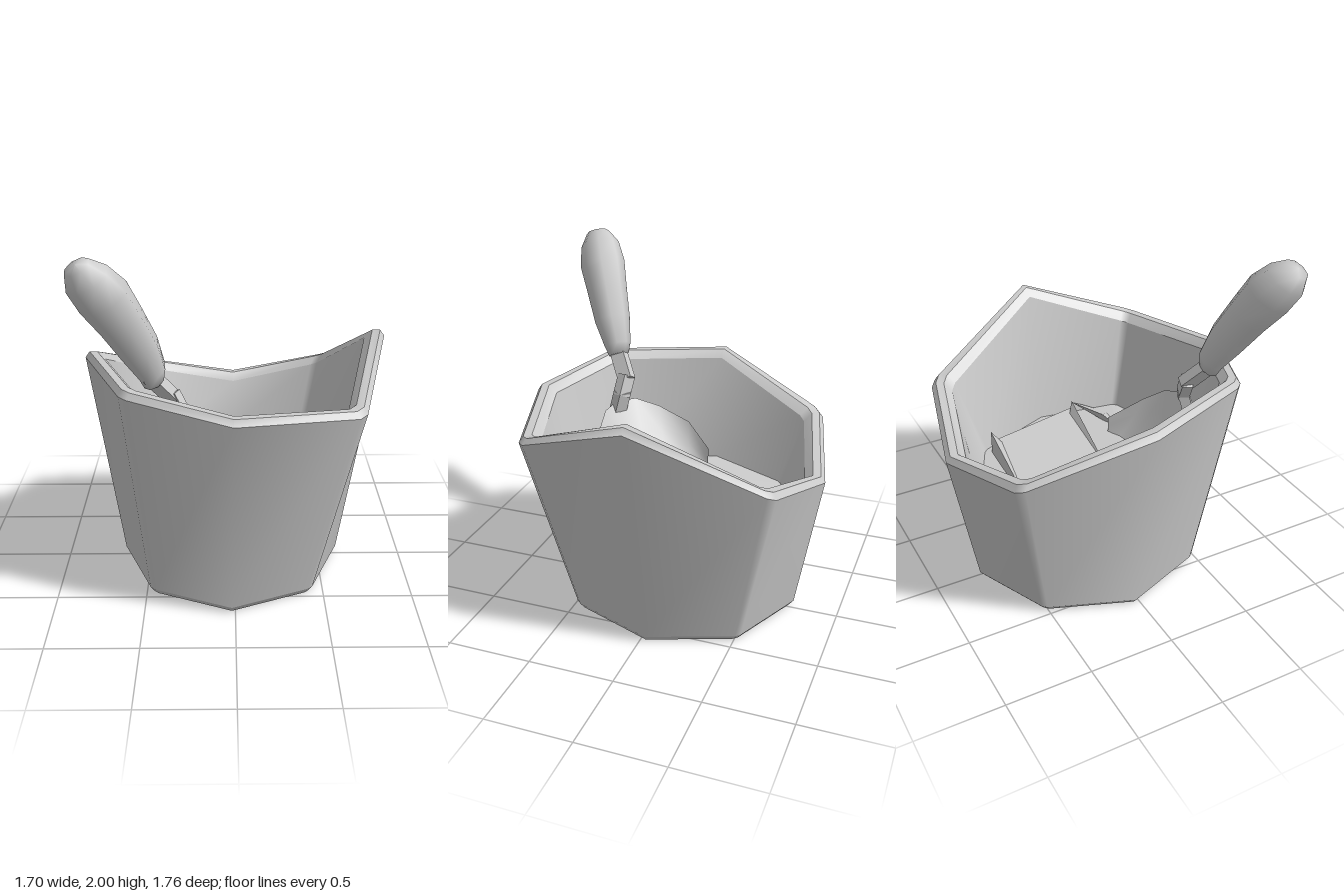
import * as THREE from 'three';
import { ConvexGeometry } from 'three/addons/geometries/ConvexGeometry.js';

const V = (x, y, z) => new THREE.Vector3(x, y, z);
const grey = (opts = {}) => new THREE.MeshStandardMaterial({ color: 0xcccccc, ...opts });

function add(group, name, geometry, opts) {
  const mesh = new THREE.Mesh(geometry, grey(opts));
  mesh.name = name;
  group.add(mesh);
  return mesh;
}

// Cut every second corner of an eight-sided loop
function bevelLoop(corners, size) {
  const out = [];
  corners.forEach((c, i) => {
    const p = V(...c);
    if (i % 2 === 0) { out.push(p); return; }
    for (const n of [corners[i - 1], corners[(i + 1) % 8]]) {
      const dir = V(...n).sub(p);
      out.push(p.clone().addScaledVector(dir, size / dir.length()));
    }
  });
  return out;
}

// Shrink a loop towards the axis and shift it up or down
const inset = (loop, d, dy) => loop.map(p => V(p.x * (1 - d / 0.86), p.y + dy, p.z * (1 - d / 0.86)));
const flatLoop = (loop, x, y, z) => loop.map(() => V(x, y, z));

// Surface through rows of points; sharp rows get their own vertices
function loft(rows, closed, sharp) {
  const pos = [], index = [];
  const n = rows[0].length;
  const push = row => {
    const start = pos.length / 3;
    row.forEach(p => pos.push(p.x, p.y, p.z));
    return start;
  };
  let prev = push(rows[0]);
  for (let r = 1; r < rows.length; r++) {
    const a = sharp && r > 1 ? push(rows[r - 1]) : prev;
    const b = push(rows[r]);
    for (let i = 0; i < (closed ? n : n - 1); i++) {
      const j = (i + 1) % n;
      index.push(a + i, b + i, a + j, b + i, b + j, a + j);
    }
    prev = b;
  }
  const g = new THREE.BufferGeometry();
  g.setAttribute('position', new THREE.Float32BufferAttribute(pos, 3));
  g.setIndex(index);
  g.computeVertexNormals();
  return g;
}

// Rotation that turns +y towards the direction from a to b
const turn = (a, b) => new THREE.Quaternion().setFromUnitVectors(V(0, 1, 0), b.clone().sub(a).normalize());

export function createModel() {
  const model = new THREE.Group();
  model.name = 'bucketWithTrowel';

  // Bucket: uneven rim over a regular eight-sided base
  const rim = bevelLoop([
    [0, 0.86, -0.88], [0.6, 1.02, -0.735], [0.85, 1.38, -0.02], [0.675, 1.14, 0.66],
    [-0.01, 1.18, 0.88], [-0.59, 1.245, 0.64], [-0.85, 1.25, -0.04], [-0.63, 1.0, -0.72]], 0.035);
  const baseCorners = [];
  for (let i = 0; i < 8; i++) {
    const a = i * Math.PI / 4;
    baseCorners.push([-0.02 + 0.64 * Math.sin(a), 0.035, -0.03 - 0.705 * Math.cos(a)]);
  }
  const base = bevelLoop(baseCorners, 0.02);
  const soilEdge = bevelLoop([
    [0, 0.57, -0.69], [0.42, 0.57, -0.49], [0.61, 0.57, -0.02], [0.52, 0.58, 0.47],
    [0, 0.59, 0.64], [-0.42, 0.6, 0.48], [-0.64, 0.6, -0.04], [-0.46, 0.58, -0.515]], 0.02);
  add(model, 'bucket', loft([
    flatLoop(base, -0.02, 0, -0.03),
    inset(base, 0.035, -0.035), base, rim,
    inset(rim, 0.025, 0.035), inset(rim, 0.07, 0.035), inset(rim, 0.115, -0.01),
    soilEdge], true, true));

  // Soil: shallow fan with angular clods
  const soil = new THREE.Group();
  soil.name = 'soil';
  model.add(soil);
  add(soil, 'soilSurface', loft([soilEdge, flatLoop(soilEdge, -0.23, 0.64, 0.14)], true, true)
    .toNonIndexed(), { flatShading: true });
  const clods = [
    [[-0.23, 0.61, -0.5], [0.38, 0.72, -0.46], [0.34, 0.63, -0.39], [0.38, 0.5, -0.46]],
    [[-0.15, 0.64, 0.04], [0.51, 0.7, 0.15], [0.43, 0.63, 0.09], [0.51, 0.5, 0.15]],
    [[-0.23, 0.61, -0.5], [0.38, 0.65, -0.46], [0.51, 0.65, 0.15], [-0.15, 0.64, 0.04], [0.2, 0.5, -0.1]],
    [[0.3, 0.68, 0.26], [0.56, 0.65, 0.18], [0.55, 0.62, 0.25], [0.5, 0.54, 0.42], [0.2, 0.54, 0.4]],
  ];
  for (const pts of clods) {
    add(soil, 'clod', new ConvexGeometry(pts.map(p => V(...p))), { flatShading: true });
  }

  // Trowel standing in the soil
  const trowel = new THREE.Group();
  trowel.name = 'trowel';
  model.add(trowel);

  // Handle: bulging grip, each ring given as centre and radius
  const rings = [[-0.42, 1.3, 0.53, 0], [-0.42, 1.3, 0.53, 0.06], [-0.427, 1.36, 0.54, 0.08],
    [-0.483, 1.5, 0.595, 0.108], [-0.563, 1.66, 0.66, 0.122], [-0.64, 1.8, 0.72, 0.137],
    [-0.71, 1.9, 0.765, 0.118], [-0.75, 1.965, 0.795, 0.07], [-0.755, 1.975, 0.8, 0]];
  const tilt = turn(V(-0.42, 1.3, 0.53), V(-0.755, 1.975, 0.8));
  add(trowel, 'handle', loft(rings.map(([x, y, z, r]) => Array.from({ length: 8 }, (_, i) => {
    const a = (i + 0.5) * Math.PI / 4;
    return V(r * Math.cos(a), 0, r * Math.sin(a)).applyQuaternion(tilt).add(V(x, y, z));
  })), true, false));

  // Neck: bent square bar
  const bends = [V(-0.44, 1.34, 0.55), V(-0.335, 1.19, 0.45), V(-0.29, 1.1, 0.46), V(-0.3, 0.96, 0.5)];
  for (let i = 0; i < 3; i++) {
    const len = bends[i].distanceTo(bends[i + 1]);
    const bar = add(trowel, 'neck', new THREE.BoxGeometry(0.09, len + 0.03, 0.06));
    bar.geometry.translate(0, len / 2, 0);
    bar.position.copy(bends[i]);
    bar.quaternion.copy(turn(bends[i], bends[i + 1]));
  }

  // Blade: curved scoop from its upper edge down into the soil
  const upper = [[-0.36, 0.78, -0.08], [-0.5, 0.88, 0.1], [-0.5, 0.96, 0.3], [-0.43, 1.02, 0.43],
    [-0.3, 1.04, 0.5], [-0.18, 1.02, 0.525], [-0.04, 0.97, 0.5], [0.09, 0.86, 0.43], [0.225, 0.7, 0.26]];
  const lower = [[-0.35, 0.6, -0.07], [-0.3, 0.6, 0.03], [-0.23, 0.6, 0.14], [-0.17, 0.6, 0.2],
    [-0.1, 0.6, 0.25], [-0.03, 0.6, 0.275], [0.05, 0.6, 0.285], [0.13, 0.6, 0.28], [0.22, 0.6, 0.255]];
  const rows = [0, 0.33, 0.67, 1].map(t => upper.map((u, i) => {
    const p = V(...u).lerp(V(...lower[i]), t);
    p.y -= 0.1 * t * (1 - t); // hollow of the scoop
    return p;
  }));
  add(trowel, 'blade', loft(rows, false, false), { side: THREE.DoubleSide });

  return model;
}
